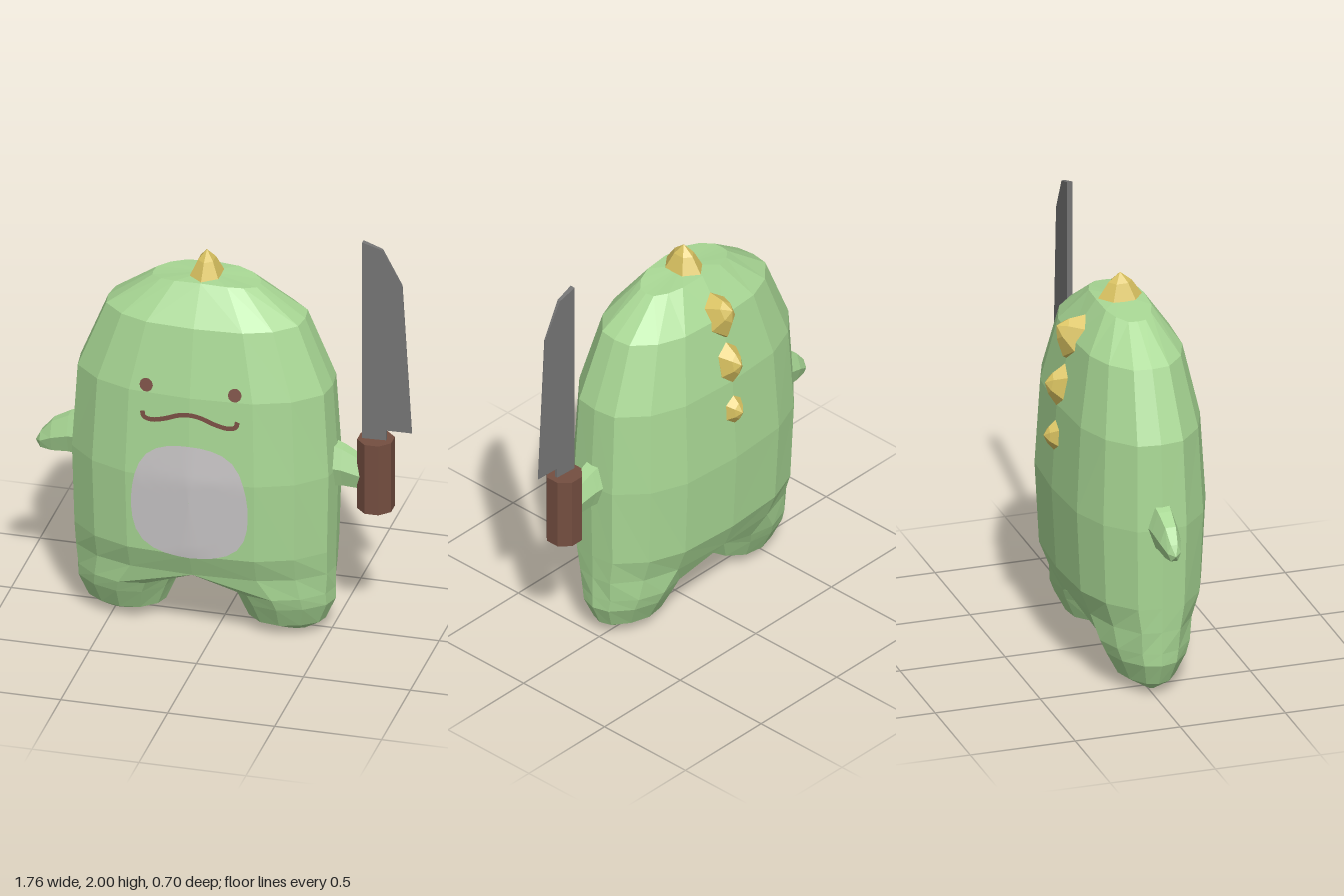
import * as THREE from 'three';

const CX = -0.08, CZ = 0.02; // centre of the body

function mat(name, color, flat = true) {
  const m = new THREE.MeshStandardMaterial({ color, flatShading: flat });
  m.name = name;
  return m;
}

// Skins successive rows of [x, y, z] points; side -1 mirrors across the body
function skin(out, rows, closed, side) {
  const tri = (...p) => {
    if (side < 0) p.reverse();
    for (const [x, y, z] of p) out.push(CX + side * x, y, CZ + z);
  };
  for (let i = 0; i + 1 < rows.length; i++) {
    const n = rows[i].length;
    for (let k = 0; k < (closed ? n : n - 1); k++) {
      const j = (k + 1) % n;
      const a = rows[i][k], b = rows[i][j], c = rows[i + 1][j], d = rows[i + 1][k];
      tri(a, d, c);
      tri(a, c, b);
    }
  }
}

function toGeometry(out) {
  const g = new THREE.BufferGeometry();
  g.setAttribute('position', new THREE.Float32BufferAttribute(out, 3));
  g.computeVertexNormals();
  return g;
}

// Torso as half rings from front to back, splitting into two legs
function bodyGeometry() {
  const U = [0, 0.49, 0.77, 0.975, 1, 0.975, 0.77, 0.49, 0];
  const V = [1, 0.94, 0.73, 0.36, 0, -0.36, -0.73, -0.94, -1];
  const torso = [
    [1.748, 0, 0, 0], [1.742, 0.25, 0.115, 0.024], [1.57, 0.46, 0.235, 0.0], [1.25, 0.59, 0.302, 0],
    [0.84, 0.615, 0.326, 0], [0.45, 0.605, 0.305, 0], [0.33, 0.602, 0.255, 0],
  ].map(([y, w, d, drop]) => U.map((u, k) => [u * w, y - drop * u * u, V[k] * d]));

  const A = [0.25, 0.5, 0.75, 0.95, 1, 0.95, 0.75, 0.5, 0.25, 0.06, 0, 0.06];
  const B = [0.9, 1, 0.8, 0.4, 0, -0.4, -0.8, -1, -0.9, -0.45, 0, 0.45];
  const crotch = [[0, 0.29, -0.15], [0, 0.24, 0], [0, 0.29, 0.15]];
  const leg = [[...torso[torso.length - 1], ...crotch]];
  for (const [y, x0, x1, d] of [
    [0.225, 0.115, 0.602, 0.215], [0.165, 0.145, 0.602, 0.19], [0.06, 0.19, 0.555, 0.135],
    [0.004, 0.33, 0.47, 0.035], [0.002, 0.4, 0.4, 0],
  ]) leg.push(A.map((a, k) => [x0 + (x1 - x0) * a, y, B[k] * d]));

  const out = [];
  for (const s of [1, -1]) {
    skin(out, torso, false, s);
    skin(out, leg, true, s);
  }
  return toGeometry(out);
}

// Stubby drooping arm
function armGeometry(side) {
  const rows = [
    [0.56, 0.86, 0.125, 0.075], [0.64, 0.85, 0.105, 0.062], [0.72, 0.825, 0.085, 0.05],
    [0.775, 0.795, 0.045, 0.032], [0.8, 0.785, 0, 0],
  ].map(([x, y, ry, rz]) => Array.from({ length: 6 }, (_, k) => {
    const t = (k / 6) * Math.PI * 2;
    return [x, y + ry * Math.sin(t), rz * Math.cos(t)];
  }));
  const out = [];
  skin(out, rows, true, side);
  return toGeometry(out);
}

export function createModel() {
  const group = new THREE.Group();
  const green = mat('skin green', 0xa8d794);
  const grey = mat('belly grey', 0xc9c6c7, false);
  const yellow = mat('spike yellow', 0xd8c160);
  const brown = mat('face brown', 0x7a4f44, false);
  const wood = mat('handle brown', 0x744e40);
  const steel = mat('blade grey', 0x757575);

  const add = (name, geometry, material) => {
    const mesh = new THREE.Mesh(geometry, material);
    mesh.name = name;
    group.add(mesh);
    return mesh;
  };

  const body = add('body', bodyGeometry(), green);
  add('leftArm', armGeometry(1), green);
  add('rightArm', armGeometry(-1), green);

  // Lays a flat geometry onto the front of the body after mapping its points
  const ray = new THREE.Raycaster();
  const drape = (geometry, map, lift) => {
    const p = geometry.attributes.position;
    for (let i = 0; i < p.count; i++) {
      const [x, y] = map(p.getX(i), p.getY(i));
      ray.set(new THREE.Vector3(x, y, 2), new THREE.Vector3(0, 0, -1));
      const hit = ray.intersectObject(body)[0];
      p.setXYZ(i, x, y, (hit ? hit.point.z : CZ) + lift);
    }
    geometry.computeVertexNormals();
    return geometry;
  };

  // Belly patch: rounded square, a little narrower at the top
  add('belly', drape(new THREE.RingGeometry(0.001, 1, 32, 8), (x, y) => {
    const r = Math.hypot(x, y);
    const f = r / Math.pow((x / r) ** 4 + (y / r) ** 4, 0.25) / r * 0.5 + 0.5;
    return [CX + x * f * (0.272 - 0.018 * y), 0.727 + y * f * 0.287];
  }, 0.006), grey);

  // Eyes
  for (const s of [1, -1]) {
    add(s > 0 ? 'leftEye' : 'rightEye',
      drape(new THREE.CircleGeometry(0.032, 10), (x, y) => [CX + s * 0.207 + x, 1.286 + y], 0.006), brown);
  }

  // Wavy mouth ribbon
  const half = [[0.222, 1.158], [0.215, 1.132], [0.18, 1.122], [0.12, 1.135], [0.05, 1.162]];
  const pts = [...half.map(([x, y]) => [-x, y]), [0, 1.17], ...half.slice().reverse()];
  const curve = new THREE.CatmullRomCurve3(pts.map(([x, y]) => new THREE.Vector3(CX + x, y, 0)));
  add('mouth', drape(new THREE.PlaneGeometry(1, 0.022, 48, 1), (x, y) => {
    const t = THREE.MathUtils.clamp(x + 0.5, 0, 1);
    const c = curve.getPoint(t), d = curve.getTangent(t);
    return [c.x - d.y * y, c.y + d.x * y];
  }, 0.006), brown);

  // Spikes from the crown down the back: y, z, tilt, half width, half length, height
  [
    [1.72, 0.02, 0, 0.075, 0.115, 0.14],
    [1.575, -0.185, -1.0, 0.072, 0.115, 0.115],
    [1.345, -0.255, -1.35, 0.06, 0.105, 0.085],
    [1.1, -0.275, -1.5, 0.055, 0.085, 0.07],
  ].forEach(([y, z, tilt, w, l, h], i) => {
    const profile = [[1, -0.15], [1, 0.05], [0.48, 0.68], [0, 1]].map(([r, t]) => new THREE.Vector2(r, t));
    const spike = add('spike' + (i + 1), new THREE.LatheGeometry(profile, 6), yellow);
    spike.scale.set(w * 1.12, h, l);
    spike.position.set(CX, y, z);
    spike.rotation.x = tilt;
  });

  // Knife: octagonal handle and a blade thinning towards its edge
  const knife = new THREE.Group();
  knife.name = 'knife';
  const handleGeo = new THREE.CylinderGeometry(0.086, 0.086, 0.35, 8);
  handleGeo.rotateY(Math.PI / 8);
  const handle = new THREE.Mesh(handleGeo, wood);
  handle.name = 'knifeHandle';
  handle.position.set(0.71, 0.83, CZ);
  const outline = [[0.65, 1], [0.76, 1], [0.76, 1.055], [0.88, 1.053], [0.835, 1.8], [0.742, 1.97], [0.65, 2]];
  const bladeGeo = new THREE.ExtrudeGeometry(
    new THREE.Shape(outline.map(([x, y]) => new THREE.Vector2(x, y))), { depth: 0.024, bevelEnabled: false });
  const bp = bladeGeo.attributes.position;
  for (let i = 0; i < bp.count; i++) {
    bp.setZ(i, (bp.getZ(i) - 0.012) * (0.05 + (0.88 - bp.getX(i)) / 0.23) + CZ + 0.004);
  }
  bladeGeo.computeVertexNormals();
  const blade = new THREE.Mesh(bladeGeo, steel);
  blade.name = 'knifeBlade';
  knife.add(handle, blade);
  group.add(knife);

  return group;
}
